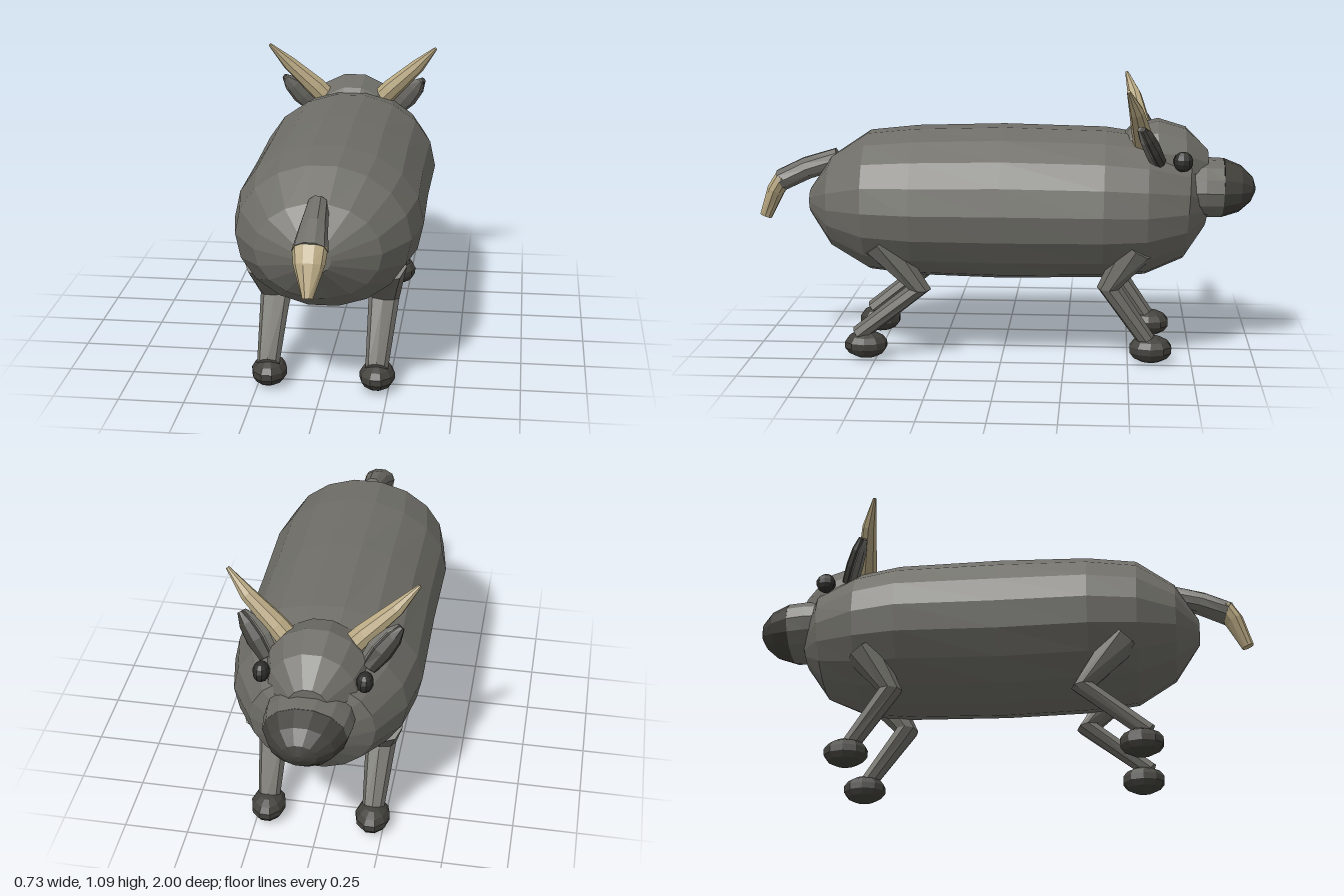
import * as THREE from 'three';

const mat = (name, color) => {
  const m = new THREE.MeshStandardMaterial({ color, flatShading: true });
  m.name = name;
  return m;
};

// Faceted skin over elliptical rings [x, y, z, radiusA, radiusB] strung along a path.
// radiusA points along ref, radiusB across it.
function loft(rings, sides, ref = [1, 0, 0]) {
  const pts = rings.map(r => new THREE.Vector3(r[0], r[1], r[2]));
  const axis = new THREE.Vector3(...ref);
  const pos = [], idx = [];
  rings.forEach((r, i) => {
    const before = pts[Math.max(i - 1, 0)], after = pts[Math.min(i + 1, pts.length - 1)];
    const into = pts[i].clone().sub(before).normalize();
    const out = after.clone().sub(pts[i]).normalize();
    const t = into.add(out).normalize();
    const u = axis.clone().addScaledVector(t, -axis.dot(t)).normalize();
    const v = t.clone().cross(u);
    for (let j = 0; j < sides; j++) {
      const a = (j / sides) * Math.PI * 2;
      const p = pts[i].clone().addScaledVector(u, r[3] * Math.cos(a)).addScaledVector(v, r[4] * Math.sin(a));
      pos.push(p.x, p.y, p.z);
    }
  });
  const last = rings.length - 1, c0 = pos.length / 3;
  for (const p of [pts[0], pts[last]]) pos.push(p.x, p.y, p.z);
  for (let j = 0; j < sides; j++) {
    const k = (j + 1) % sides;
    for (let i = 0; i < last; i++) {
      const a = i * sides, b = a + sides;
      idx.push(a + j, a + k, b + k, a + j, b + k, b + j);
    }
    idx.push(c0, k, j, c0 + 1, last * sides + j, last * sides + k);
  }
  const g = new THREE.BufferGeometry();
  g.setAttribute('position', new THREE.Float32BufferAttribute(pos, 3));
  g.setIndex(idx);
  const flat = g.toNonIndexed();
  flat.computeVertexNormals();
  return flat;
}

export function createModel() {
  const hide = mat('greyHide', 0x6f6e68);
  const dark = mat('darkSkin', 0x42413c);
  const black = mat('eyeBlack', 0x2c2c2a);
  const horn = mat('hornTan', 0xb9a983);

  const model = new THREE.Group();
  model.name = 'hornedAnimal';
  const add = (name, geometry, material, parent = model) => {
    const m = new THREE.Mesh(geometry, material);
    m.name = name;
    parent.add(m);
    return m;
  };
  const ball = (name, x, y, z, rx, ry, rz, material, parent) => {
    const m = add(name, new THREE.SphereGeometry(1, 10, 7), material, parent);
    m.position.set(x, y, z);
    m.scale.set(rx, ry, rz);
    return m;
  };

  // Barrel body
  add('body', loft([
    [0, 0.6, 0.785, 0.06, 0.05], [0, 0.6, 0.69, 0.235, 0.185], [0, 0.605, 0.54, 0.33, 0.28],
    [0, 0.605, 0.35, 0.363, 0.3], [0, 0.605, 0, 0.358, 0.31], [0, 0.605, -0.4, 0.363, 0.3],
    [0, 0.6, -0.57, 0.33, 0.28], [0, 0.6, -0.73, 0.235, 0.215], [0, 0.59, -0.81, 0.08, 0.08],
  ], 18), hide);

  // Head, muzzle and nose
  add('head', loft([
    [0, 0.745, -0.41, 0.075, 0.075], [0, 0.745, -0.5, 0.167, 0.167], [0, 0.745, -0.61, 0.2, 0.2],
    [0, 0.745, -0.72, 0.167, 0.167], [0, 0.745, -0.81, 0.075, 0.075],
  ], 14), hide);
  add('muzzle', loft([[0, 0.67, -0.7, 0.165, 0.115], [0, 0.67, -0.8, 0.165, 0.118],
    [0, 0.668, -0.87, 0.155, 0.117]], 14), hide);
  add('nose', loft([[0, 0.668, -0.87, 0.155, 0.117], [0, 0.665, -0.94, 0.12, 0.092],
    [0, 0.662, -0.985, 0.065, 0.05], [0, 0.66, -1, 0.015, 0.012]], 14), dark);

  // Tail with a pale tip
  add('tail', loft([[0, 0.77, 0.67, 0.04, 0.045], [0, 0.73, 0.8, 0.052, 0.046],
    [0, 0.68, 0.905, 0.065, 0.045]], 10), hide);
  add('tailTip', loft([[0, 0.695, 0.895, 0.064, 0.036], [0, 0.64, 0.93, 0.057, 0.036],
    [0, 0.53, 0.975, 0.02, 0.025]], 10), horn);

  for (const s of [1, -1]) {
    const side = s > 0 ? 'left' : 'right';

    ball(side + 'Eye', s * 0.19, 0.8, -0.705, 0.032, 0.04, 0.04, black);

    // Curved horns
    add(side + 'Horn', loft([[s * 0.1, 0.83, -0.56, 0.045, 0.045], [s * 0.165, 0.9, -0.545, 0.04, 0.042],
      [s * 0.275, 1.005, -0.52, 0.028, 0.03], [s * 0.352, 1.09, -0.488, 0.007, 0.007]], 8, [0, 0, 1]), horn);

    // Ears: hide outside, dark inner face
    const ear = new THREE.Group();
    ear.name = side + 'Ear';
    model.add(ear);
    const earRings = (dx, dz, k) => [
      [s * (0.18 + dx), 0.8, -0.605 + dz, 0.028 * k, 0.038 * k], [s * (0.222 + dx), 0.855, -0.58 + dz, 0.03 * k, 0.05 * k],
      [s * (0.262 + dx), 0.905, -0.555 + dz, 0.025 * k, 0.04 * k], [s * (0.29 + dx), 0.94, -0.535 + dz, 0.012, 0.012],
    ];
    add('earOuter', loft(earRings(0, 0, 1), 8, [0, 0, 1]), hide, ear);
    add('earInner', loft(earRings(0.008, -0.01, 0.88), 8, [0, 0, 1]), dark, ear);

    // Bent legs and rounded hooves
    const legs = {
      Front: { hip: [0.23, 0.47, -0.53], knee: [0.212, 0.305, -0.425], ankle: [0.207, 0.09, -0.575], hoof: -0.59 },
      Back: { hip: [0.23, 0.48, 0.48], knee: [0.212, 0.29, 0.325], ankle: [0.207, 0.095, 0.57], hoof: 0.54 },
    };
    for (const [end, l] of Object.entries(legs)) {
      const leg = new THREE.Group();
      leg.name = side + end + 'Leg';
      model.add(leg);
      const ring = (p, a, b) => [s * p[0], p[1], p[2], a, b];
      add('leg', loft([ring(l.hip, 0.08, 0.075), ring(l.knee, 0.06, 0.048), ring(l.ankle, 0.043, 0.034)], 8), hide, leg);
      ball('hoof', s * 0.207, 0.055, l.hoof, 0.069, 0.055, 0.088, dark, leg);
    }
  }
  return model;
}
